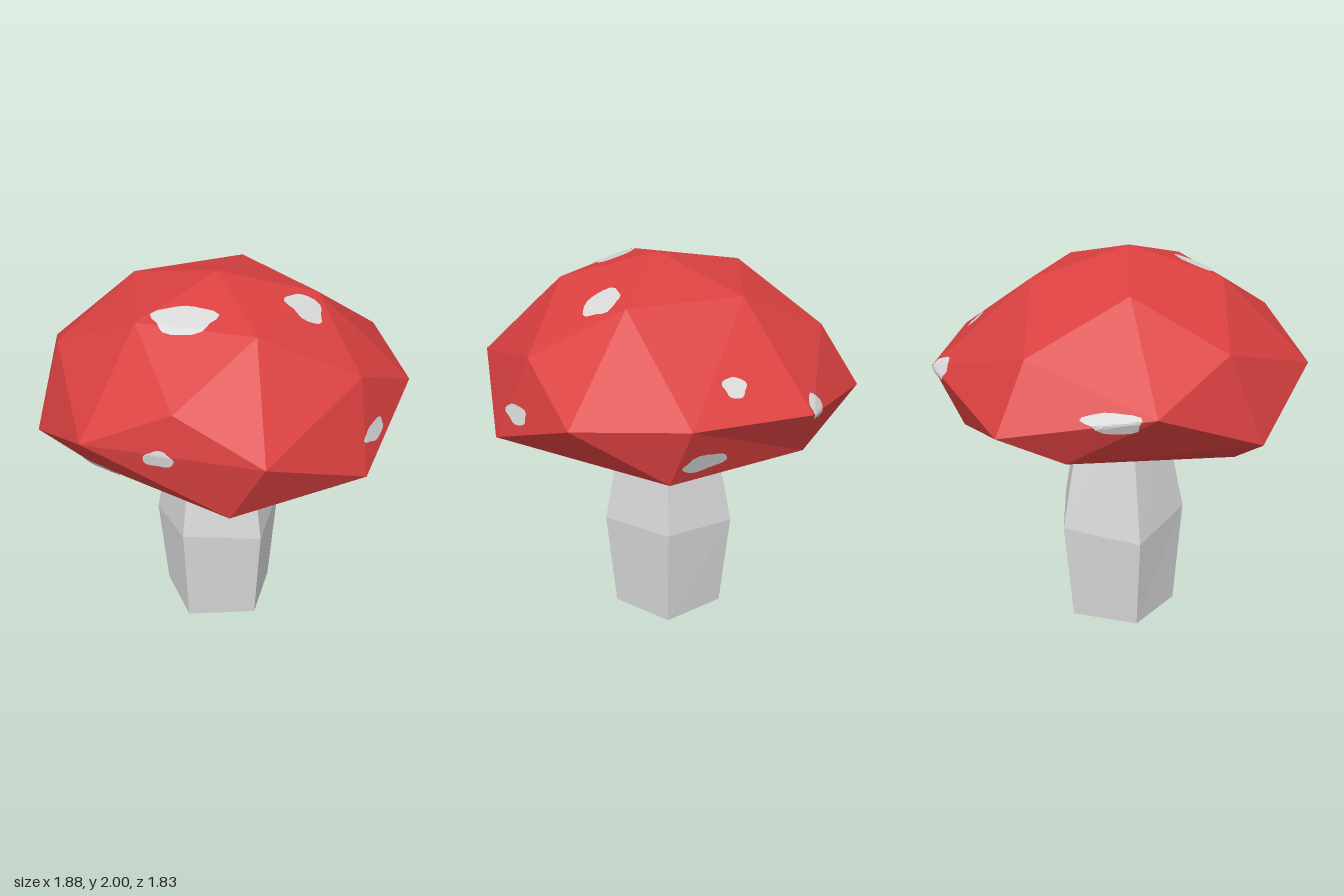
import * as THREE from 'three';

const red = new THREE.MeshStandardMaterial({ color: 0xda4040 });
red.name = 'cap red';
const pale = new THREE.MeshStandardMaterial({ color: 0xd8d8d8, side: THREE.DoubleSide });
pale.name = 'pale grey';

const V = (x, y, z) => new THREE.Vector3(x, y, z);

// Unshared triangles give hard facets
function facets(triangles, material, name) {
  const geo = new THREE.BufferGeometry().setFromPoints(triangles.flat());
  geo.computeVertexNormals();
  const mesh = new THREE.Mesh(geo, material);
  mesh.name = name;
  return mesh;
}

function makeCap() {
  const apex = V(-0.03, 2, 0.05);
  const crown = [V(-0.38, 1.87, 0.39), V(0.2, 1.87, 0.48), V(0.46, 1.87, -0.04), V(0.05, 1.87, -0.46), V(-0.48, 1.87, -0.19)];
  const brim = [V(-0.59, 1.43, 0.78), V(0.28, 1.43, 0.91), V(0.94, 1.43, 0), V(0.26, 1.43, -0.92), V(-0.94, 1.43, -0.3)];
  const between = [V(-0.15, 1.63, 0.81), V(0.69, 1.63, 0.37), V(0.76, 1.47, -0.54), V(-0.4, 1.62, -0.7), V(-0.82, 1.63, 0.15)];
  // Underside rim, plus two corners just above it
  const rim = [V(0.11, 1.1, 0.83), V(0.74, 1.19, 0.55), V(0.73, 1.155, -0.41), V(0.1, 1.15, -0.82), V(-0.6, 1.15, -0.59), V(-0.64, 1.02, 0.32)];
  const backCorner = V(-0.48, 1.29, -0.89), sideCorner = V(-0.92, 1.19, 0.29);
  const tris = [];

  // Dome
  for (let i = 0; i < 5; i++) {
    const j = (i + 1) % 5;
    tris.push([apex, crown[i], crown[j]], [crown[i], between[i], crown[j]],
      [crown[i], brim[i], between[i]], [crown[j], between[i], brim[j]]);
  }
  // Skirt from brim down to rim
  const [b0, b1, b2, b3, b4] = brim, [r0, r1, r2, r3, r4, r5] = rim;
  tris.push([between[0], b0, b1], [b0, r0, b1], [b1, r0, r1],
    [between[1], b1, r1], [between[1], r1, b2], [b2, r1, r2],
    [b2, r2, between[2]], [between[2], r2, r3], [between[2], r3, b3],
    [b3, r3, backCorner], [between[3], b3, backCorner], [between[3], backCorner, b4],
    [backCorner, r3, r4], [backCorner, r4, b4], [b4, r4, sideCorner],
    [between[4], b4, sideCorner], [between[4], sideCorner, b0],
    [sideCorner, r4, r5], [b0, sideCorner, r5], [b0, r5, r0]);
  // Shallow hollow underside
  const hub = V(0, 1.17, 0);
  rim.forEach((p, i) => tris.push([hub, p, rim[(i + 1) % 6]]));

  // Turn every facet outward
  const middle = V(0, 1.45, 0);
  for (const t of tris) {
    const n = t[1].clone().sub(t[0]).cross(t[2].clone().sub(t[0]));
    const out = t[0].clone().add(t[1]).add(t[2]).divideScalar(3).sub(middle);
    if (n.dot(out) < 0) t.reverse();
  }
  return facets(tris, red, 'cap');
}

// Ragged thin patch laid over the facets of the cap
function makeSpot(cap, centre, direction, ru, rv, seed) {
  const n = direction.clone().normalize();
  const u = V(0, 1, 0).cross(n).normalize(), v = n.clone().cross(u);
  const ray = new THREE.Raycaster();
  const rings = 6, sides = 20;
  const lay = (a, b, fallback) => {
    const from = centre.clone().addScaledVector(u, a).addScaledVector(v, b).addScaledVector(n, 0.4);
    ray.set(from, n.clone().negate());
    const hit = ray.intersectObject(cap)[0];
    return hit && hit.distance < 0.6 ? hit.point.addScaledVector(hit.face.normal, 0.006) : fallback;
  };
  const grid = [Array(sides).fill(lay(0, 0, centre))];
  for (let r = 1; r <= rings; r++) {
    grid.push(Array.from({ length: sides }, (_, i) => {
      const t = (i / sides) * Math.PI * 2;
      const s = (r / rings) * (0.92 + 0.08 * Math.sin(3 * t + seed) + 0.06 * Math.sin(5 * t + seed * 2));
      return lay(ru * s * Math.cos(t), rv * s * Math.sin(t), grid[r - 1][i]);
    }));
  }
  const tris = [];
  for (let r = 0; r < rings; r++) {
    for (let i = 0; i < sides; i++) {
      const j = (i + 1) % sides;
      tris.push([grid[r][i], grid[r + 1][i], grid[r + 1][j]]);
      if (r) tris.push([grid[r][i], grid[r + 1][j], grid[r][j]]);
    }
  }
  return facets(tris, pale, 'spot');
}

// Five-sided stem, open at the foot
function makeStem() {
  const levels = [
    [V(0.19, 0, 0.2), V(0.24, 0, -0.15), V(-0.075, 0, -0.31), V(-0.33, 0, -0.06), V(-0.17, 0, 0.26)],
    [V(0.22, 0.54, 0.24), V(0.285, 0.57, -0.175), V(-0.08, 0.535, -0.365), V(-0.38, 0.5, -0.07), V(-0.19, 0.57, 0.3)],
    [V(0.14, 1.22, 0.15), V(0.18, 1.22, -0.115), V(-0.06, 1.22, -0.235), V(-0.245, 1.22, -0.05), V(-0.14, 1.22, 0.18)],
  ];
  const tris = [];
  for (let k = 0; k < 2; k++) {
    for (let i = 0; i < 5; i++) {
      const j = (i + 1) % 5;
      const [a, b, c, d] = [levels[k][i], levels[k][j], levels[k + 1][j], levels[k + 1][i]];
      tris.push([a, b, c], [a, c, d]);
    }
  }
  return facets(tris, pale, 'stem');
}

export function createModel() {
  const model = new THREE.Group();
  model.name = 'mushroom';
  const cap = makeCap();
  model.add(cap, makeStem());

  const spots = new THREE.Group();
  spots.name = 'spots';
  // centre, facing, half width, half height
  [
    [V(-0.15, 1.88, 0.37), V(0, 0.94, 0.34), 0.165, 0.1],
    [V(0.4, 1.85, 0.12), V(0.3, 0.94, 0.15), 0.095, 0.11],
    [V(-0.215, 1.41, 0.83), V(0, 0.15, 1), 0.08, 0.045],
    [V(0.77, 1.36, 0.4), V(0.95, 0.2, 0.2), 0.1, 0.05],
    [V(0.45, 1.58, -0.6), V(0.45, 0.65, -0.6), 0.065, 0.06],
    [V(0.62, 1.26, -0.53), V(0.55, -0.1, -0.83), 0.13, 0.055],
    [V(0.18, 1.43, -0.88), V(-0.1, 0.5, -0.87), 0.075, 0.06],
    [V(-0.8, 1.4, -0.45), V(-0.75, 0.35, -0.58), 0.15, 0.05],
    [V(-0.58, 1.06, 0.39), V(-0.36, -0.68, 0.64), 0.12, 0.07],
  ].forEach(([c, d, w, h], i) => spots.add(makeSpot(cap, c, d, w, h, i * 1.7)));
  model.add(spots);
  return model;
}
